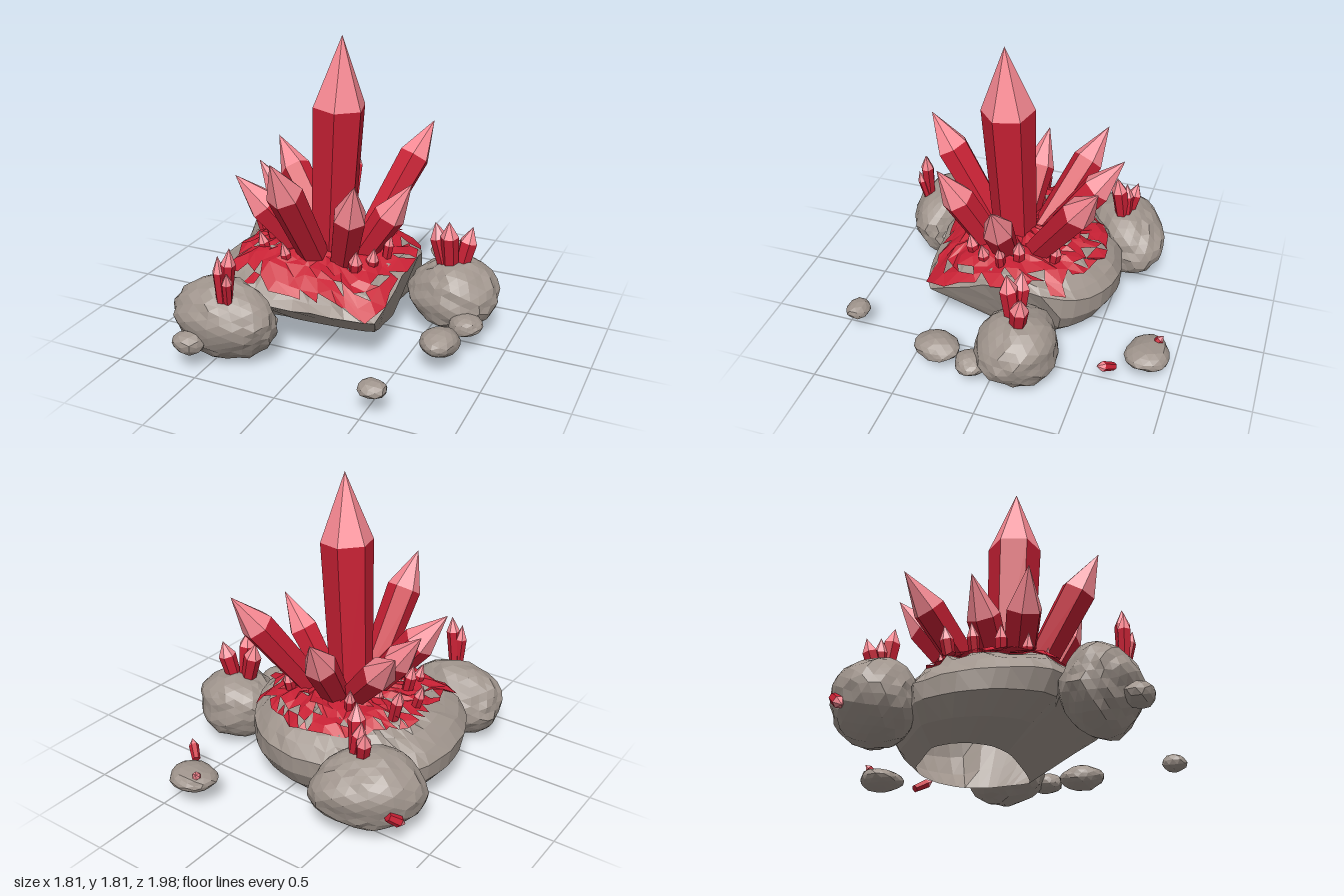
import * as THREE from 'three';

const mat = (color, side = THREE.FrontSide) => new THREE.MeshStandardMaterial({ color, side, flatShading: true });
const V = (x, y, z) => new THREE.Vector3(x, y, z);

// Repeatable noise in 0..1
const hash = (a, b = 0) => {
  const s = Math.sin(a * 127.1 + b * 311.7) * 43758.5453;
  return s - Math.floor(s);
};

// Rim of the main rock: widest outline, seen from above
const RIM = new THREE.CatmullRomCurve3([
  [.38, .28, .5], [.18, .3, .57], [-.1, .3, .6], [-.4, .31, .61], [-.64, .31, .5], [-.77, .3, .28],
  [-.8, .29, .05], [-.76, .28, -.18], [-.62, .28, -.3], [-.45, .3, -.42], [-.3, .31, -.53], [-.08, .32, -.58],
  [.15, .33, -.52], [.33, .36, -.36], [.41, .44, -.1], [.4, .4, .2],
].map((p) => V(...p)), true, 'catmullrom', 0.3);

// Point on the domed top: t = 0 at the middle, 1 at the rim; steeper towards the front right corner
function topPoint(u, t) {
  const rim = RIM.getPoint(u % 1);
  const power = 4.8 - 2.4 * THREE.MathUtils.smoothstep(rim.x + rim.z, 0, .6);
  return V(-.1 + (rim.x + .1) * t, rim.y + (.52 - rim.y) * (1 - t ** power), .05 + (rim.z - .05) * t);
}

// Flat-shaded strips through a list of closed rings; keep() can drop triangles
function ringGeometry(rings, keep = () => true) {
  const pos = [];
  const n = rings[0].length;
  for (let r = 0; r < rings.length - 1; r++) {
    for (let i = 0; i < n; i++) {
      const j = (i + 1) % n;
      const a = rings[r][i], b = rings[r][j], c = rings[r + 1][i], d = rings[r + 1][j];
      if (keep(r, i, 0)) pos.push(...a, ...b, ...c);
      if (keep(r, i, 1)) pos.push(...b, ...d, ...c);
    }
  }
  const g = new THREE.BufferGeometry();
  g.setAttribute('position', new THREE.Float32BufferAttribute(pos, 3));
  g.computeVertexNormals();
  return g;
}

// Main rock: domed top and undercut sides, hollow and open underneath
function baseRock() {
  const n = 40, rings = [];
  const jitter = (p, i, r, k) => p.add(V(hash(i, r) - .5, hash(i, r + 20) - .5, hash(i, r + 40) - .5).multiplyScalar(k));
  const ring = (fn) => rings.push(Array.from({ length: n }, (_, i) => fn(i)));
  [0, .25, .5, .7, .82, .92].forEach((t, r) => ring((i) => jitter(topPoint(i / n, t), i, r, t ? .035 : 0)));
  ring((i) => jitter(RIM.getPoint(i / n), i, 7, .015));
  const foot = (rim) => V(
    -.18 + (rim.x + .18) * (rim.x > -.18 ? .72 : .64), 0, -.14 + (rim.z + .14) * (rim.z > -.14 ? .42 : .6));
  // Back and left sides bulge, the front and right stay planar
  for (const s of [.35, .7, 1]) {
    ring((i) => {
      const rim = RIM.getPoint(i / n);
      const bulge = (rim.x < -.5 || rim.z < -.3) ? .5 * s * (1 - s) : 0;
      const p = rim.clone().lerp(foot(rim), s);
      p.x += (rim.x + .18) * bulge;
      p.z += (rim.z + .14) * bulge;
      return p;
    });
  }
  return ringGeometry(rings);
}

// Jagged crust of crystal flakes lying on the main rock
function crust() {
  const n = 44, rows = 10, rings = [];
  for (let r = 0; r < rows; r++) {
    rings.push(Array.from({ length: n }, (_, i) => {
      const rim = RIM.getPoint(i / n);
      const reach = rim.x > .3 ? 1.0 : rim.z > .45 ? .92 : rim.x < -.55 ? .78 : .85;
      const t = r / (rows - 1) * reach;
      const p = topPoint((i + (hash(i, r) - .5) * .6 + n) / n, r ? t + (hash(r, i) - .5) * .06 : 0);
      p.y += r ? .004 + hash(i + 9, r + 3) * .034 : .03;
      return p;
    }));
  }
  return ringGeometry(rings, (r, i, k) => hash(i * 2 + k, r + 70) > Math.max(.05 * (r > 3), (r - rows + 4) * .16));
}

// Boulder: ellipsoid with soft lumps and small chips
function boulder(rx, ry, rz, seed, detail) {
  const g = new THREE.IcosahedronGeometry(1, detail);
  const p = g.attributes.position, v = V(0, 0, 0);
  for (let i = 0; i < p.count; i++) {
    v.fromBufferAttribute(p, i).normalize();
    const lump = .05 * Math.sin(v.x * 3 + seed) + .04 * Math.sin(v.y * 4 + v.z * 3 + seed * 2.3);
    const chip = .025 * Math.sin(v.x * 13 + v.y * 17 + v.z * 11 + seed) + .012 * Math.sin(v.x * 29 - v.y * 23 + v.z * 31);
    v.multiplyScalar(1 + lump + chip);
    p.setXYZ(i, v.x * rx, v.y * ry, v.z * rz);
  }
  g.computeVertexNormals();
  return g;
}

export function createModel() {
  const model = new THREE.Group();
  const stone = mat(0xa0958d), hollowStone = mat(0xa0958d, THREE.DoubleSide);
  const body = mat(0xc82034), tipMat = mat(0xfa8a94), flakes = mat(0xc82034, THREE.DoubleSide);

  const add = (name, geometry, material, parent = model) => {
    const m = new THREE.Mesh(geometry, material);
    m.name = name;
    parent.add(m);
    return m;
  };

  // Six-sided crystal running from a buried foot to a pointed tip
  const crystal = (name, foot, tip, r, point, spin) => {
    const a = V(...foot), axis = V(...tip).sub(a), len = axis.length(), h = len - point;
    const g = new THREE.Group();
    g.name = name;
    add('crystalShaft', new THREE.CylinderGeometry(r, r * .82, h, 6).translate(0, h / 2, 0), body, g);
    add('crystalPoint', new THREE.ConeGeometry(r, point, 6, 1, true).translate(0, h + point / 2, 0), tipMat, g);
    g.children.forEach((m) => m.geometry.rotateY(spin));
    g.position.copy(a);
    g.quaternion.setFromUnitVectors(V(0, 1, 0), axis.normalize());
    model.add(g);
  };

  add('mainRock', baseRock(), hollowStone);
  add('crystalCrust', crust(), flakes);

  // Boulders and pebbles: centre, radii, detail, turn
  [
    ['rightBoulder', [.62, .23, -.14], [.275, .215, .24], 4, 0],
    ['frontBoulder', [-.455, .235, .71], [.335, .225, .2], 4, 0],
    ['backBoulder', [-.585, .25, -.495], [.315, .24, .235], 4, .6],
    ['backPebble', [.38, .15, -.86], [.14, .065, .135], 2, 0],
    ['sidePebble', [.7, .15, .33], [.12, .07, .13], 2, 0],
    ['sidePebble', [.78, .155, .09], [.1, .06, .1], 2, 0],
    ['frontPebble', [.54, .14, .92], [.08, .05, .075], 1, 0],
    ['frontPebble', [-.59, .15, .91], [.1, .065, .085], 1, 0],
  ].forEach(([name, c, r, detail, turn], i) => {
    const rock = add(name, boulder(...r, i * 1.7 + .4, detail), stone);
    rock.position.set(...c);
    rock.rotation.y = turn;
  });

  // Tall central crystal
  crystal('centralCrystal', [-.07, .4, .1], [.015, 1.8, .13], .158, .41, .25);

  // Leaning crystals around it
  [
    [[-.11, .42, .2], [-.17, 1.19, .665], .105],
    [[.04, .42, .2], [.24, 1.06, .475], .1],
    [[.1, .45, .1], [.425, .97, .08], .095],
    [[.06, .45, -.06], [.343, 1.17, -.51], .1],
    [[-.1, .45, -.08], [-.22, 1.04, -.53], .098],
    [[-.14, .45, -.04], [-.64, 1.0, -.33], .098],
    [[-.17, .45, .09], [-.58, .96, .04], .095],
    [[-.14, .43, .16], [-.565, .97, .36], .105],
  ].forEach(([foot, tip, r], i) => crystal('leaningCrystal', foot, tip, r, .25, i * .4));

  // Small crystals growing from the crust, leaning outward
  [
    [-.29, -.24], [-.08, -.2], [.17, -.24], [.23, -.02], [.25, .21], [.18, .31], [-.28, -.1], [-.36, -.03],
    [-.46, .17], [-.44, .32], [-.26, .38], [-.33, .22], [.08, .3], [.3, .08], [-.6, .05], [-.55, -.12],
  ].forEach(([x, z], i) => {
    const y = .59 + .11 * hash(i, 5);
    crystal('smallCrystal', [x * .88, .42, z * .88 + .01], [x, y, z], .03 + .012 * hash(i, 8), .08, i);
  });

  // Clusters on the boulders and a few loose pieces
  [
    [[.58, .38, -.12], [.5, .67, -.13], .055], [[.61, .38, -.11], [.605, .71, -.07], .055],
    [[.66, .38, -.15], [.715, .65, -.19], .055],
    [[-.39, .4, .81], [-.355, .73, .81], .042], [[-.41, .4, .82], [-.42, .68, .83], .038],
    [[-.37, .4, .82], [-.35, .6, .86], .03],
    [[-.5, .42, -.48], [-.47, .74, -.44], .05], [[-.55, .42, -.5], [-.6, .64, -.55], .045],
    [[-.5, .42, -.5], [-.54, .66, -.49], .042],
    [[-.8, .23, -.62], [-.865, .16, -.54], .035], [[.33, .17, -.88], [.3, .23, -.93], .025],
    [[.52, .12, -.69], [.62, .19, -.61], .03],
  ].forEach(([foot, tip, r], i) => {
    const len = V(...foot).distanceTo(V(...tip));
    crystal('clusterCrystal', foot, tip, r, Math.min(.1, len * .35), i * .7);
  });

  return model;
}
